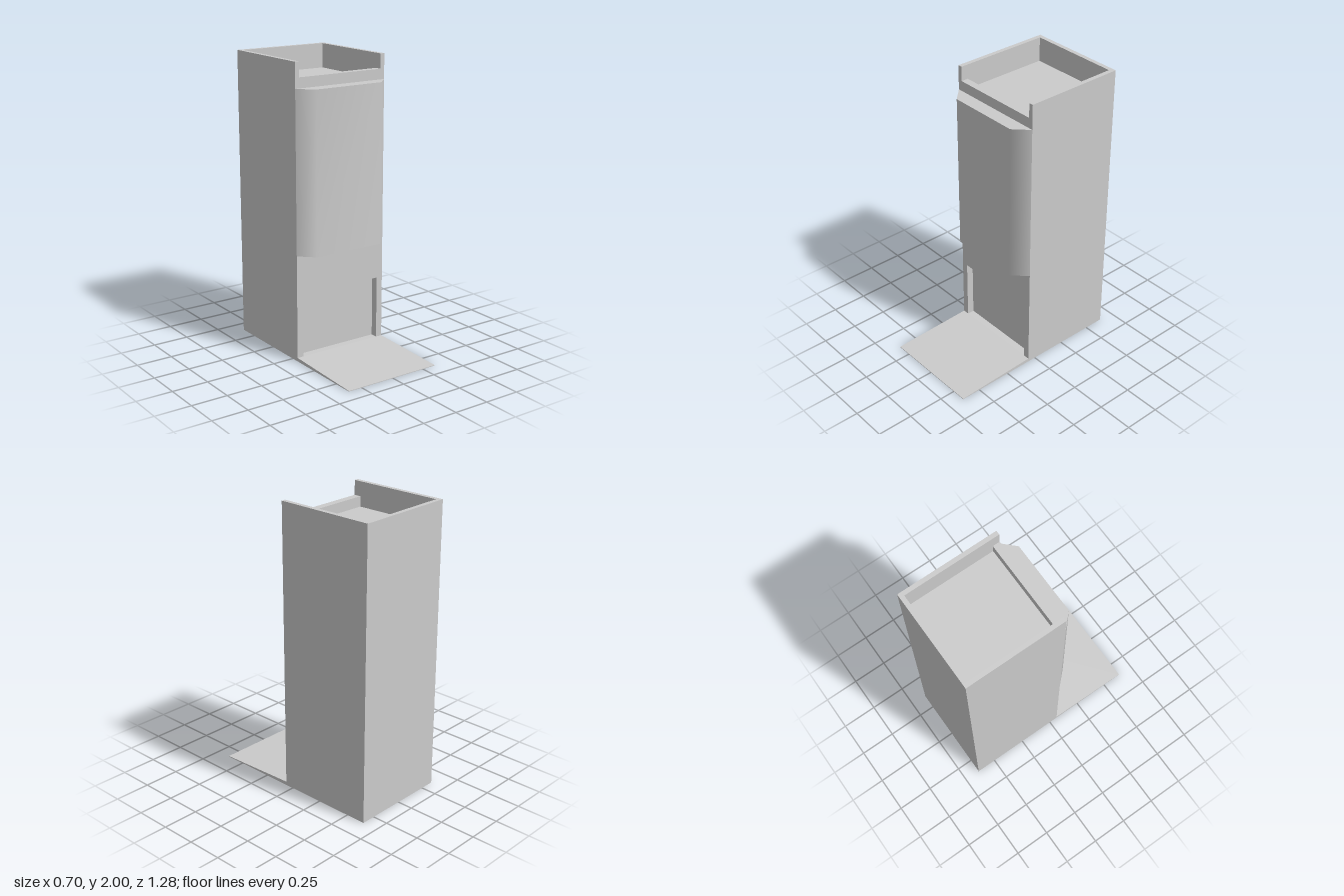
import * as THREE from 'three';

const W = 0.35, BACK = -0.64, FRONT = 0.06, H = 2;   // outer shell
const IN = 0.32, IN_BACK = -0.61, LIP = 0.01;        // tray opening
const FLOOR = 1.83, LIP_TOP = 1.9;
const DOOR = 0.305, DOOR_TOP = 0.46, SILL = 0.025;

// Flat-shaded sheet made of quads, each with corners counter-clockwise from its front
function quads(list) {
  const pos = [];
  for (const [a, b, c, d] of list) pos.push(...a, ...b, ...c, ...a, ...c, ...d);
  const g = new THREE.BufferGeometry();
  g.setAttribute('position', new THREE.Float32BufferAttribute(pos, 3));
  g.computeVertexNormals();
  return g;
}

// Mirror a quad across x = 0, keeping its front side outward
const mirror = (q) => q.map(([x, y, z]) => [-x, y, z]).reverse();
const both = (q) => [q, mirror(q)];

export function createModel() {
  const group = new THREE.Group();
  const mat = new THREE.MeshStandardMaterial({ color: 0xcccccc, side: THREE.DoubleSide });
  const add = (name, geometry) => {
    const mesh = new THREE.Mesh(geometry, mat);
    mesh.name = name;
    group.add(mesh);
    return mesh;
  };

  // Side and back walls, open underneath
  add('shellWalls', quads([
    ...both([[W, 0, FRONT], [W, 0, BACK], [W, H, BACK], [W, H, FRONT]]),
    [[W, 0, BACK], [-W, 0, BACK], [-W, H, BACK], [W, H, BACK]],
  ]));

  // Front wall, notched at the top, with a doorway
  const face = new THREE.Shape([
    [-W, 0], [W, 0], [W, H], [IN, H], [IN, LIP_TOP], [-IN, LIP_TOP], [-IN, H], [-W, H],
  ].map((p) => new THREE.Vector2(...p)));
  face.holes.push(new THREE.Path([
    [-DOOR, SILL], [-DOOR, DOOR_TOP], [DOOR, DOOR_TOP], [DOOR, SILL],
  ].map((p) => new THREE.Vector2(...p))));
  add('frontWall', new THREE.ShapeGeometry(face)).position.z = FRONT;

  // Rim around the three high sides
  add('topRim', quads([
    ...both([[IN, H, FRONT], [W, H, FRONT], [W, H, BACK], [IN, H, BACK]]),
    [[-IN, H, IN_BACK], [IN, H, IN_BACK], [IN, H, BACK], [-IN, H, BACK]],
  ]));

  // Sunken tray with a low front lip
  add('topTray', quads([
    [[-IN, FLOOR, LIP], [IN, FLOOR, LIP], [IN, FLOOR, IN_BACK], [-IN, FLOOR, IN_BACK]],
    [[-IN, FLOOR, IN_BACK], [IN, FLOOR, IN_BACK], [IN, H, IN_BACK], [-IN, H, IN_BACK]],
    ...both([[-IN, FLOOR, LIP], [-IN, FLOOR, IN_BACK], [-IN, H, IN_BACK], [-IN, H, LIP]]),
    ...both([[-IN, LIP_TOP, FRONT], [-IN, LIP_TOP, LIP], [-IN, H, LIP], [-IN, H, FRONT]]),
    [[IN, FLOOR, LIP], [-IN, FLOOR, LIP], [-IN, LIP_TOP, LIP], [IN, LIP_TOP, LIP]],
    [[-IN, LIP_TOP, FRONT], [IN, LIP_TOP, FRONT], [IN, LIP_TOP, LIP], [-IN, LIP_TOP, LIP]],
  ]));

  // Shallow doorway recess
  const d = DOOR, t = DOOR_TOP, s = SILL;
  add('doorRecess', quads([
    [[-d, s, LIP], [d, s, LIP], [d, t, LIP], [-d, t, LIP]],
    ...both([[-d, s, FRONT], [-d, s, LIP], [-d, t, LIP], [-d, t, FRONT]]),
    [[-d, t, LIP], [d, t, LIP], [d, t, FRONT], [-d, t, FRONT]],
    [[-d, s, FRONT], [d, s, FRONT], [d, s, LIP], [-d, s, LIP]],
  ]));

  // Bulging front panel: smooth-shaded chamfered strip plus flat end caps
  const profile = [[-W, FRONT], [-0.255, 0.155], [0.255, 0.155], [W, FRONT]];
  const low = 0.735, high = 1.83;
  const pos = [], index = [];
  profile.forEach(([x, z], i) => {
    pos.push(x, low, z, x, high, z);
    if (i < 3) index.push(2 * i, 2 * i + 2, 2 * i + 3, 2 * i, 2 * i + 3, 2 * i + 1);
  });
  const strip = new THREE.BufferGeometry();
  strip.setAttribute('position', new THREE.Float32BufferAttribute(pos, 3));
  strip.setIndex(index);
  strip.computeVertexNormals();
  add('frontPanel', strip);
  const cap = (y) => profile.map(([x, z]) => [x, y, z]);
  add('frontPanelEnds', quads([cap(low).reverse(), cap(high)].map((q, i) => (i ? q : q.slice()))
    .map((q) => q.slice().reverse()).map((q, i) => (i ? q.slice().reverse() : q.slice().reverse()))));

  // Thin wedge ramp
  const tip = 0.64, edge = 0.004;
  add('ramp', quads([
    [[-W, edge, tip], [W, edge, tip], [W, s, FRONT], [-W, s, FRONT]],
    [[-W, 0, FRONT], [W, 0, FRONT], [W, 0, tip], [-W, 0, tip]],
    [[-W, 0, tip], [W, 0, tip], [W, edge, tip], [-W, edge, tip]],
    ...both([[W, 0, tip], [W, 0, FRONT], [W, s, FRONT], [W, edge, tip]]),
  ]));

  return group;
}
